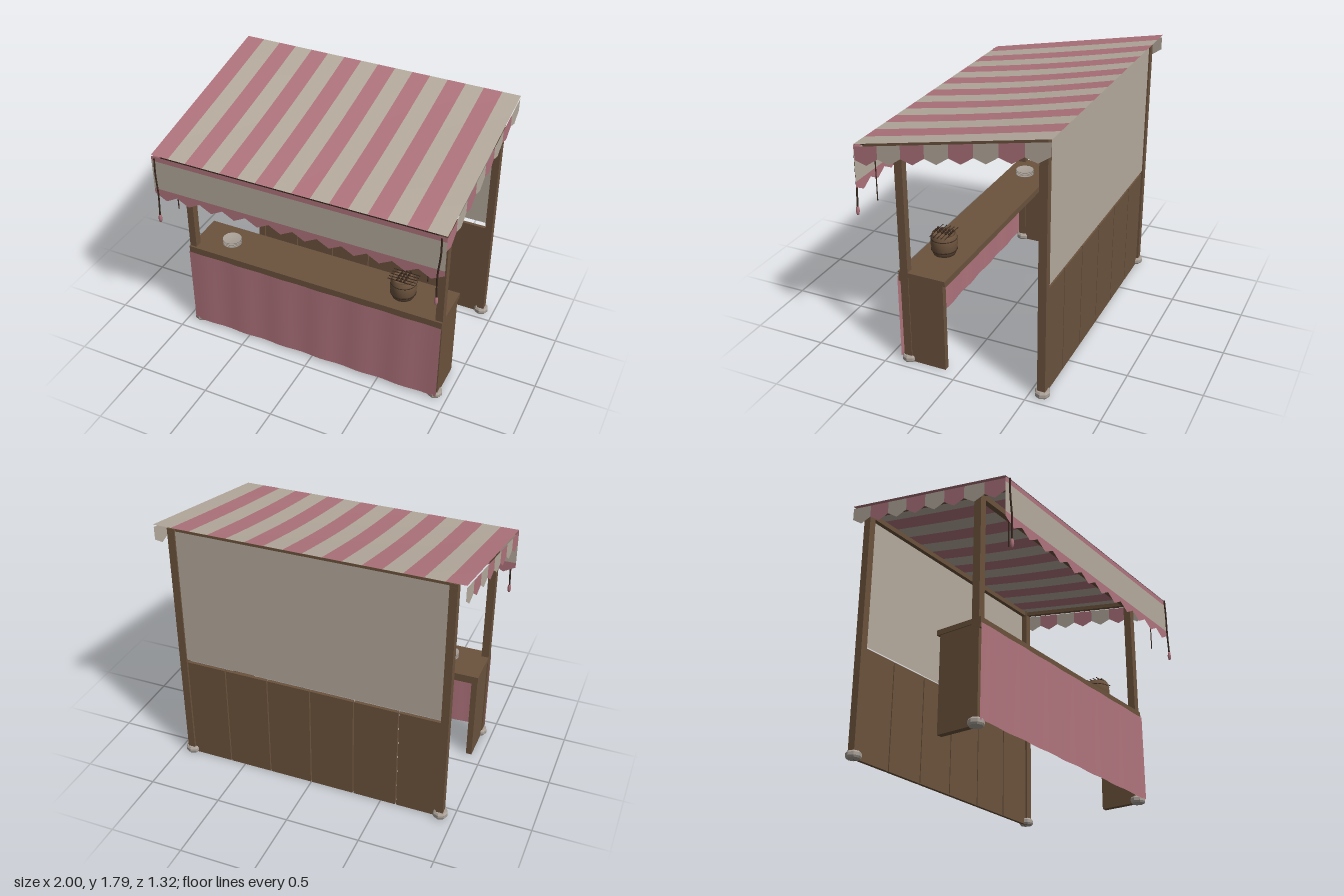
import * as THREE from 'three';

const mat = (name, color, side = THREE.FrontSide) => {
  const m = new THREE.MeshStandardMaterial({ color, side });
  m.name = name;
  return m;
};

export function createModel() {
  const stall = new THREE.Group();
  stall.name = 'marketStall';
  const pink = mat('pinkCloth', 0xb0747d, THREE.DoubleSide);
  const cream = mat('creamCloth', 0xb6ab9e, THREE.DoubleSide);
  const wood = mat('wood', 0x6c533d);
  const dark = mat('darkWood', 0x3a2a20);
  const stone = mat('stone', 0xaaa198);

  const add = (name, geo, material, x = 0, y = 0, z = 0) => {
    const mesh = new THREE.Mesh(geo, material);
    mesh.name = name;
    mesh.position.set(x, y, z);
    stall.add(mesh);
    return mesh;
  };
  // Box given by its lower and upper limits
  const box = (name, m, x0, x1, y0, y1, z0, z1) =>
    add(name, new THREE.BoxGeometry(x1 - x0, y1 - y0, z1 - z0), m, (x0 + x1) / 2, (y0 + y1) / 2, (z0 + z1) / 2);
  const polygon = (pts) => new THREE.ShapeGeometry(new THREE.Shape(pts.map(([x, y]) => new THREE.Vector2(x, y))));
  const tube = (name, m, pts, r) =>
    add(name, new THREE.TubeGeometry(new THREE.CatmullRomCurve3(pts.map((p) => new THREE.Vector3(...p))), 12, r, 6), m);

  const zFront = 0.62, zBack = -0.66, slope = 0.203;
  const roofY = (z) => 1.53 + (zFront - z) * slope;

  // Striped awning with a slight sag
  for (let i = 0; i < 16; i++) {
    const geo = new THREE.PlaneGeometry(0.125, zFront - zBack, 2, 12);
    geo.rotateX(-Math.PI / 2);
    geo.translate(-1 + (i + 0.5) * 0.125, 0, (zFront + zBack) / 2);
    const p = geo.attributes.position;
    for (let k = 0; k < p.count; k++) {
      const x = p.getX(k), z = p.getZ(k);
      const sag = 0.015 * Math.sin(Math.PI * (zFront - z) / (zFront - zBack)) * (1 - x * x);
      p.setY(k, roofY(z) - sag);
    }
    geo.computeVertexNormals();
    add('awningStripe', geo, i % 2 ? cream : pink);
  }

  // Front valance: top band, cream field, pointed hem
  add('valanceBand', new THREE.PlaneGeometry(2, 0.035), pink, 0, 1.505, 0.622);
  add('valanceField', new THREE.PlaneGeometry(2, 0.21), cream, 0, 1.383, 0.622);
  const hem = [[1, 1.278], [-1, 1.278]];
  for (let i = 0; i <= 24; i++) hem.push([-1 + i / 12, i % 2 ? 1.197 : 1.243]);
  add('valanceHem', polygon(hem), pink, 0, 0, 0.622);

  // Side valances of alternating pointed flaps
  for (const s of [-1, 1]) {
    const w = (zFront + 0.655) / 8;
    for (let i = 0; i < 8; i++) {
      const a = zFront - i * w, b = a - w, c = (a + b) / 2;
      const flap = polygon([
        [a, roofY(a) - 0.018], [b, roofY(b) - 0.018], [b, roofY(b) - 0.105], [c, roofY(c) - 0.145], [a, roofY(a) - 0.105],
      ]);
      flap.rotateY(-Math.PI / 2);
      add('sideFlap', flap, i % 2 ? cream : pink, s * 0.998);
    }
  }

  for (const s of [-1, 1]) {
    // Posts on faceted stone feet
    for (const [z, top] of [[0.36, 1.565], [-0.583, 1.755]]) {
      const x = s * 0.91;
      box('post', wood, x - 0.025, x + 0.025, 0.01, top, z - 0.027, z + 0.027);
      const foot = new THREE.LatheGeometry(
        [[0, 0], [0.044, 0], [0.051, 0.012], [0.051, 0.033], [0.042, 0.045], [0, 0.045]].map((p) => new THREE.Vector2(...p)), 8).toNonIndexed();
      foot.computeVertexNormals();
      add('foot', foot, stone, x, 0, z);
    }
    // Sloping rafter
    const rafter = box('rafter', wood, s * 0.91 - 0.015, s * 0.91 + 0.015, 0, 0.028, -0.62, 0.62);
    rafter.position.y = roofY(0) - 0.035;
    rafter.rotation.x = Math.atan(slope);
    // Cords with tassels
    tube('tasselCord', dark, [[s * 0.97, 1.52, 0.632], [s * 0.972, 1.4, 0.636], [s * 0.962, 1.25, 0.642], [s * 0.966, 1.09, 0.646]], 0.006);
    const tassel = new THREE.LatheGeometry(
      [[0, 0], [0.008, 0.006], [0.013, 0.03], [0.009, 0.058], [0, 0.068]].map((p) => new THREE.Vector2(...p)), 8);
    add('tassel', tassel, pink, s * 0.966, 1.03, 0.646);
    tube('tieCord', dark, [[s * 0.875, 1.53, 0.555], [s * 0.875, 1.32, 0.555], [s * 0.875, 1.11, 0.555]], 0.004);
  }

  // Cross rails under the awning
  box('frontRail', dark, -0.94, 0.94, 1.505, 1.527, 0.588, 0.612);
  box('frontBeam', wood, -0.89, 0.89, 1.51, 1.55, 0.342, 0.378);
  box('backBeam', wood, -0.89, 0.89, 1.715, 1.75, -0.595, -0.565);

  // Plank back wall and cloth screen
  for (let i = 0; i < 6; i++) {
    const x = -0.91 + i * 0.3033;
    box('backPlank', wood, x + 0.004, x + 0.2993, 0, 0.755, -0.595, -0.572);
  }
  add('backScreen', new THREE.PlaneGeometry(1.77, 0.955), cream, 0, 1.258, -0.6);

  // Counter, open at the back
  box('counterTop', wood, -0.935, 0.935, 0.637, 0.672, 0.07, 0.4);
  box('counterApron', wood, -0.935, 0.935, 0.602, 0.637, 0.385, 0.4);
  box('counterBackRail', wood, -0.89, 0.89, 0.602, 0.637, 0.09, 0.11);
  for (const s of [-1, 1]) box('counterSide', wood, s * 0.908 - 0.02, s * 0.908 + 0.02, 0.002, 0.637, 0.09, 0.385);

  // Gently folded counter cloth
  const cloth = new THREE.PlaneGeometry(1.87, 0.605, 56, 1);
  const cp = cloth.attributes.position;
  for (let k = 0; k < cp.count; k++) {
    const low = cp.getY(k) < 0 ? 1 : 0.5;
    cp.setZ(k, 0.004 * low * Math.sin(cp.getX(k) * 21));
  }
  cloth.computeVertexNormals();
  add('counterCloth', cloth, pink, 0, 0.328, 0.408);

  // Barrel with skewers
  const barrel = new THREE.LatheGeometry(
    [[0, 0], [0.073, 0], [0.083, 0.035], [0.089, 0.075], [0.087, 0.11], [0.078, 0.145], [0.07, 0.145], [0.068, 0.132], [0, 0.132]]
      .map((p) => new THREE.Vector2(...p)), 20);
  add('barrel', barrel, wood, 0.605, 0.672, 0.245);
  for (const y of [0.705, 0.785]) {
    const hoop = add('barrelHoop', new THREE.TorusGeometry(0.084, 0.004, 6, 24), dark, 0.605, y, 0.245);
    hoop.rotation.x = Math.PI / 2;
  }
  for (let i = -2; i <= 2; i++) {
    const z = 0.245 + i * 0.027;
    const stick = add('skewer', new THREE.CylinderGeometry(0.003, 0.003, 0.185, 6), dark, 0.605, 0.822, z);
    stick.rotation.z = Math.PI / 2;
    for (const dx of [-0.025, 0, 0.025]) add('skewerBall', new THREE.SphereGeometry(0.009, 8, 6), dark, 0.605 + dx, 0.83, z);
  }

  // Stack of plates
  const plate = new THREE.LatheGeometry(
    [[0, 0], [0.04, 0], [0.067, 0.009], [0.065, 0.012], [0.04, 0.005], [0, 0.005]].map((p) => new THREE.Vector2(...p)), 20);
  for (let i = 0; i < 4; i++) add('plate', plate, stone, -0.68, 0.673 + i * 0.011, 0.245);

  return stall;
}
